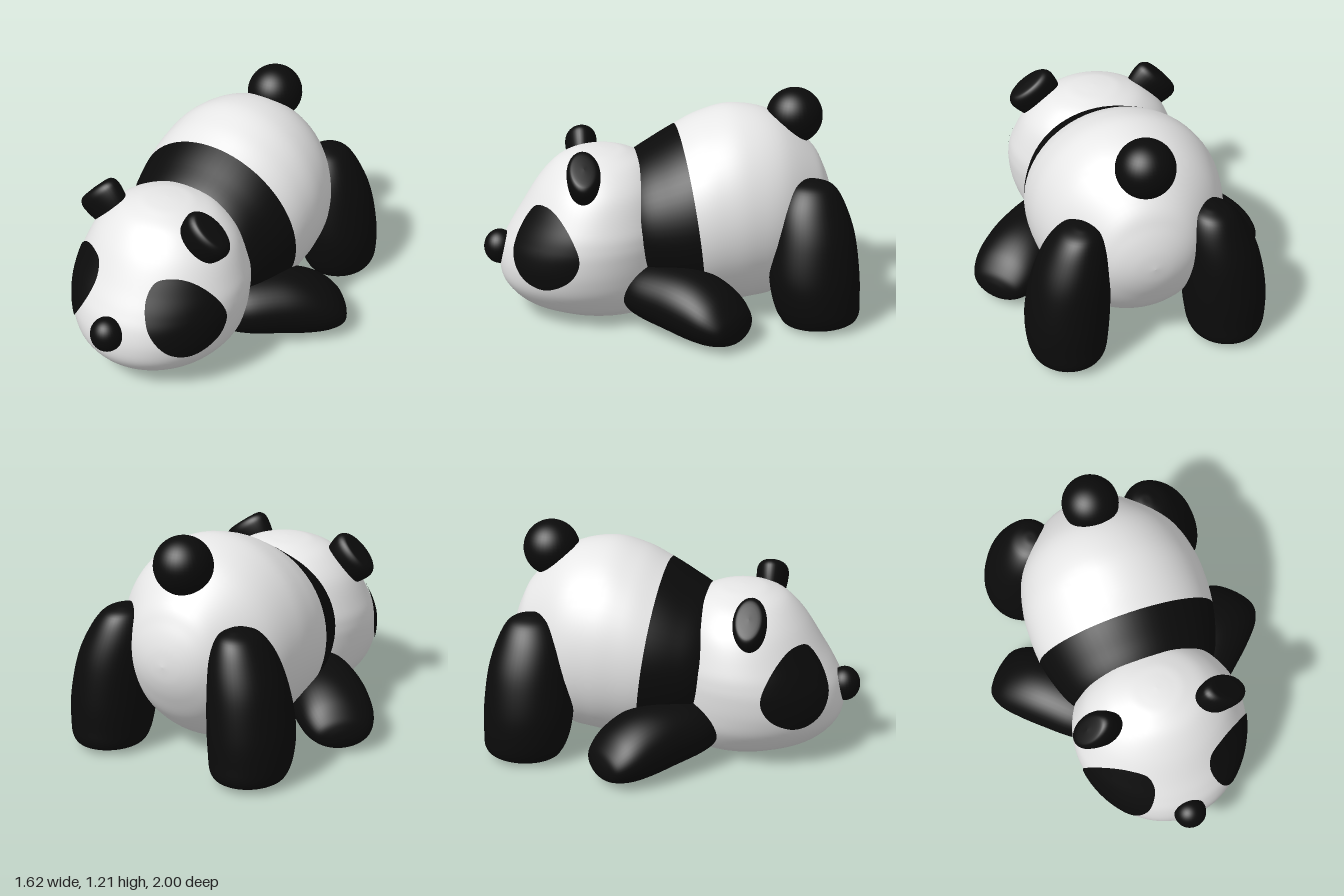
import * as THREE from 'three';

const white = new THREE.MeshStandardMaterial({ color: 0xeeeeee });
white.name = 'whiteFur';
const black = new THREE.MeshStandardMaterial({ color: 0x0b0b0b });
black.name = 'blackFur';

// Smooth surface from a point rule; columns close into a ring
function grid(point, rows, cols) {
  const pos = [], index = [];
  for (let i = 0; i <= rows; i++) {
    for (let j = 0; j < cols; j++) pos.push(...point(i / rows, j / cols).toArray());
  }
  for (let i = 0; i < rows; i++) {
    for (let j = 0; j < cols; j++) {
      const k = (j + 1) % cols;
      const a = i * cols + j, b = i * cols + k, c = a + cols, d = b + cols;
      index.push(a, b, c, b, d, c);
    }
  }
  const geo = new THREE.BufferGeometry();
  geo.setAttribute('position', new THREE.Float32BufferAttribute(pos, 3));
  geo.setIndex(index);
  geo.computeVertexNormals();
  return geo;
}

// Elliptical sections [zA, yA, zB, yB, halfWidth, xCentre] joined by splines
function loft(sections, side = 1) {
  const spline = (f) => new THREE.SplineCurve(sections.map((s) => new THREE.Vector2(...f(s))));
  const A = spline((s) => [s[0], s[1]]);
  const B = spline((s) => [s[2], s[3]]);
  const W = spline((s) => [s[4], (s[5] || 0) * side]);
  return (t, u) => {
    const a = A.getPoint(t), b = B.getPoint(t), w = W.getPoint(t);
    const c = Math.cos(u * Math.PI * 2), s = Math.sin(u * Math.PI * 2);
    return new THREE.Vector3(
      w.y + Math.max(w.x, 0) * s,
      (a.y + b.y) / 2 + ((a.y - b.y) / 2) * c,
      (a.x + b.x) / 2 + ((a.x - b.x) / 2) * c
    );
  };
}

const bodySections = [
  [0.30, 0.74, 0.18, 0.20, 0.33],
  [0.19, 0.855, 0.10, 0.12, 0.42],
  [0.06, 0.94, -0.03, 0.06, 0.475],
  [-0.06, 1.01, -0.19, 0.03, 0.51],
  [-0.20, 1.08, -0.32, 0.03, 0.52],
  [-0.38, 1.12, -0.45, 0.04, 0.51],
  [-0.60, 1.07, -0.60, 0.075, 0.455],
  [-0.80, 0.90, -0.77, 0.22, 0.31],
  [-0.87, 0.78, -0.86, 0.36, 0.215],
  [-0.908, 0.67, -0.905, 0.47, 0.11],
  [-0.92, 0.57, -0.92, 0.57, 0],
];

const headSections = [
  [0.33, 0.03, 0.33, 0.03, 0],
  [0.60, 0.03, 0.08, 0.03, 0.24],
  [0.74, 0.06, 0.02, 0.06, 0.31],
  [0.83, 0.11, -0.02, 0.11, 0.365],
  [0.90, 0.20, -0.05, 0.20, 0.43],
  [0.915, 0.30, -0.05, 0.30, 0.465],
  [0.895, 0.40, -0.05, 0.40, 0.48],
  [0.855, 0.48, -0.045, 0.48, 0.48],
  [0.80, 0.57, -0.03, 0.57, 0.46],
  [0.70, 0.73, 0.02, 0.73, 0.39],
  [0.60, 0.84, 0.10, 0.84, 0.28],
  [0.50, 0.89, 0.20, 0.89, 0.165],
  [0.43, 0.905, 0.28, 0.905, 0.08],
  [0.35, 0.91, 0.35, 0.91, 0],
];

const legSections = [
  [-0.79, 0.01, -0.79, 0.01, 0, 0.43],
  [-0.62, 0.012, -0.95, 0.025, 0.15, 0.43],
  [-0.57, 0.05, -0.997, 0.06, 0.195, 0.43],
  [-0.53, 0.15, -1.0, 0.15, 0.215, 0.43],
  [-0.51, 0.30, -0.995, 0.30, 0.22, 0.422],
  [-0.53, 0.50, -0.97, 0.50, 0.20, 0.40],
  [-0.56, 0.65, -0.925, 0.65, 0.165, 0.37],
  [-0.62, 0.75, -0.87, 0.75, 0.11, 0.35],
  [-0.69, 0.785, -0.80, 0.785, 0.045, 0.34],
  [-0.75, 0.79, -0.75, 0.79, 0, 0.34],
];

const armSections = [
  [0.735, 0.10, 0.735, 0.10, 0, -0.3],
  [0.727, 0.15, 0.725, 0.055, 0.08, -0.3],
  [0.70, 0.205, 0.69, 0.025, 0.15, -0.3],
  [0.62, 0.285, 0.60, 0.003, 0.195, -0.3],
  [0.50, 0.345, 0.48, 0.002, 0.21, -0.3],
  [0.35, 0.37, 0.33, 0.02, 0.21, -0.3],
  [0.15, 0.36, 0.15, 0.045, 0.195, -0.3],
  [0.05, 0.32, 0.05, 0.08, 0.14, -0.3],
  [0.0, 0.20, 0.0, 0.20, 0, -0.3],
];

// Eye patch outline as [degrees from the front, height]
const patchOutline = [
  [20, 0.57], [24, 0.645], [38, 0.667], [52, 0.64], [66, 0.565], [77, 0.46], [79, 0.40],
  [75, 0.32], [59, 0.25], [44, 0.275], [31.5, 0.36], [23, 0.465],
];

export function createModel() {
  const model = new THREE.Group();
  model.name = 'bear';
  const add = (name, geo, mat, x = 0, y = 0, z = 0) => {
    const mesh = new THREE.Mesh(geo, mat);
    mesh.name = name;
    mesh.position.set(x, y, z);
    model.add(mesh);
    return mesh;
  };

  // Body with the dark shoulder band between sections 1 and 3
  const step = 6, cols = 64, rows = (bodySections.length - 1) * step;
  const bodyGeo = grid(loft(bodySections), rows, cols);
  const perRow = cols * 6;
  bodyGeo.addGroup(0, 3 * step * perRow, 1);
  bodyGeo.addGroup(3 * step * perRow, (rows - 3 * step) * perRow, 0);
  add('body', bodyGeo, [white, black]);

  // Head
  const headPoint = loft(headSections);
  add('head', grid(headPoint, (headSections.length - 1) * 6, 72), white);

  // Finds a point just above the head surface at an angle and height
  const headCentre = new THREE.Vector3(0, 0.45, 0.43);
  const onHead = (degrees, y) => {
    let lo = 0.15, hi = 1;
    for (let n = 0; n < 24; n++) {
      const mid = (lo + hi) / 2;
      if (headPoint(mid, 0).y < y) lo = mid; else hi = mid;
    }
    const p = headPoint(lo, degrees / 360);
    return p.addScaledVector(p.clone().sub(headCentre).normalize(), 0.006);
  };

  // Eye patches
  const outline = new THREE.CatmullRomCurve3(
    patchOutline.map(([d, y]) => new THREE.Vector3(d / 100, y, 0)), true);
  for (const s of [1, -1]) {
    const patch = grid((r, u) => {
      const o = outline.getPoint(s > 0 ? u : (1 - u) % 1);
      const d = THREE.MathUtils.lerp(49, o.x * 100, r);
      return onHead(s * d, THREE.MathUtils.lerp(0.46, o.y, r));
    }, 14, 72);
    add(s > 0 ? 'leftEyePatch' : 'rightEyePatch', patch, black);
  }

  // Nose and tail
  add('nose', new THREE.SphereGeometry(1, 32, 24), black, 0, 0.365, 0.915).scale.set(0.088, 0.095, 0.085);
  add('tail', new THREE.SphereGeometry(0.154, 40, 28), black, 0, 1.052, -0.71);

  // Ears: stubby oval posts with rounded rims, set slightly unevenly
  const rim = [[0.115, -0.09], [0.135, -0.02], [0.143, 0.03], [0.14, 0.06], [0.122, 0.083], [0.09, 0.093], [0, 0.097]];
  const earProfile = new THREE.SplineCurve(rim.map(([r, y]) => new THREE.Vector2(r, y))).getPoints(24);
  earProfile[24].x = 0;
  const earGeo = new THREE.LatheGeometry(earProfile, 40);
  const ears = [['leftEar', 0.305, 0.825, 0.47, -0.63], ['rightEar', -0.347, 0.80, 0.435, 0.79]];
  for (const [name, x, y, z, tilt] of ears) {
    const ear = add(name, earGeo, black, x, y, z);
    ear.scale.z = 0.62;
    ear.rotation.z = tilt;
  }

  // Limbs
  for (const s of [1, -1]) {
    const label = s > 0 ? 'left' : 'right';
    add(label + 'HindLeg', grid(loft(legSections, s), 54, 48), black);
    const arm = add(label + 'FrontLeg', grid(loft(armSections, s), 48, 48), black);
    arm.rotation.y = (s * Math.PI * 3) / 4;
  }

  return model;
}
